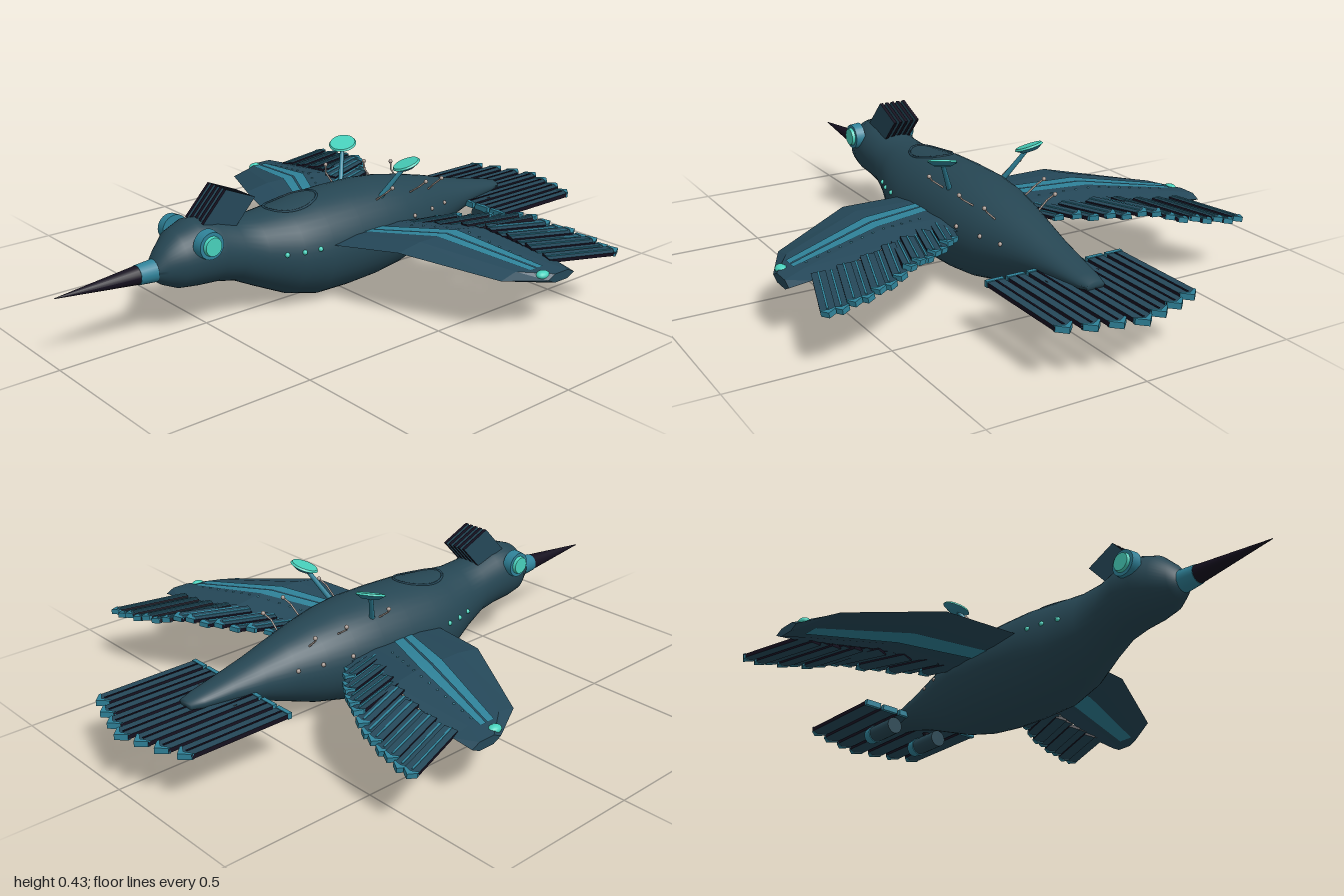
import * as THREE from 'three';

const mat = (name, color, side = THREE.FrontSide) => {
  const m = new THREE.MeshStandardMaterial({ color, side });
  m.name = name;
  return m;
};
const M = {
  body: mat('slate teal', 0x264653),
  wing: mat('wing slate', 0x254859),
  blue: mat('trim blue', 0x2f8299, THREE.DoubleSide),
  glow: mat('bright teal', 0x48d1bc),
  dark: mat('night black', 0x15101f),
  metal: mat('pale metal', 0xa89a92),
};

const V = (x, y, z) => new THREE.Vector3(x, y, z);
const mesh = (name, geo, material, parent) => {
  const m = new THREE.Mesh(geo, material);
  m.name = name;
  parent.add(m);
  return m;
};

// Skin closed rings, ordered along -z or +x, with fan caps
function loft(rings, flat) {
  const n = rings[0].length, pts = rings.flat(), idx = [];
  for (let i = 0; i < rings.length - 1; i++)
    for (let j = 0; j < n; j++) {
      const a = i * n + j, b = i * n + (j + 1) % n;
      idx.push(a, a + n, b, b, a + n, b + n);
    }
  const last = (rings.length - 1) * n;
  for (let j = 1; j < n - 1; j++) idx.push(0, j, j + 1, last, last + j + 1, last + j);
  let g = new THREE.BufferGeometry().setFromPoints(pts);
  g.setIndex(idx);
  if (flat) g = g.toNonIndexed();
  g.computeVertexNormals();
  return g;
}

// Cylinder between two points
function rod(name, a, b, r0, r1, material, parent, seg = 12) {
  const d = b.clone().sub(a);
  const m = mesh(name, new THREE.CylinderGeometry(r1, r0, d.length(), seg), material, parent);
  m.position.copy(a).add(b).multiplyScalar(0.5);
  m.quaternion.setFromUnitVectors(V(0, 1, 0), d.normalize());
  return m;
}
function ball(name, p, r, material, parent) {
  mesh(name, new THREE.SphereGeometry(r, 10, 8), material, parent).position.copy(p);
}

// Body stations: z, top, bottom, half width
const STATIONS = [
  [0.68, 0.252, 0.188, 0.034], [0.655, 0.285, 0.17, 0.052], [0.61, 0.328, 0.15, 0.083],
  [0.55, 0.35, 0.143, 0.1], [0.48, 0.343, 0.138, 0.1], [0.41, 0.322, 0.122, 0.096],
  [0.33, 0.315, 0.082, 0.11], [0.22, 0.322, 0.03, 0.147], [0.12, 0.333, 0.003, 0.163],
  [0, 0.337, 0.001, 0.166], [-0.12, 0.337, 0.006, 0.163], [-0.22, 0.327, 0.018, 0.152],
  [-0.32, 0.308, 0.043, 0.13], [-0.42, 0.284, 0.08, 0.102], [-0.52, 0.256, 0.118, 0.078],
  [-0.62, 0.232, 0.147, 0.059], [-0.72, 0.21, 0.163, 0.042], [-0.76, 0.2, 0.17, 0.03],
];
function skin(z, a) {
  let i = 0;
  while (i < STATIONS.length - 2 && z < STATIONS[i + 1][0]) i++;
  const p = STATIONS[i], q = STATIONS[i + 1], t = (p[0] - z) / (p[0] - q[0]);
  const [top, bot, w] = [1, 2, 3].map(k => p[k] + (q[k] - p[k]) * t);
  return V(w * Math.cos(a), (top + bot) / 2 + (top - bot) / 2 * Math.sin(a), z);
}

// Pointed feather lying along -z, base at the origin
function feather(parent, name, w, len, thick, shaftMat) {
  const g = new THREE.Group();
  g.name = name;
  const h = w / 2, slab = (pts, depth, y, mats, label) => {
    const geo = new THREE.ExtrudeGeometry(new THREE.Shape(pts.map(p => new THREE.Vector2(...p))), { depth, bevelEnabled: false });
    geo.rotateX(-Math.PI / 2).translate(0, y - depth / 2, 0);
    mesh(label, geo, mats, g);
  };
  slab([[-h, 0], [h, 0], [h, len - h], [0, len - 0.004], [-h, len - h]], thick, 0, [M.wing, M.dark], 'vane');
  slab([[-h, len - h - 0.008], [0, len - 0.02], [h, len - h - 0.008], [h, len - h], [0, len], [-h, len - h]],
    thick + 0.004, 0, M.blue, 'featherTip');
  slab([[-0.003, 0], [0.003, 0], [0.003, len - 0.03], [-0.003, len - 0.03]], 0.004, thick / 2, shaftMat, 'shaft');
  parent.add(g);
  return g;
}

const wingY = x => x < 0.38 ? 0.2 + (x - 0.1) * 0.11 : 0.231 - (x - 0.38) * 0.15;

// Thin band over the wing: points are x, front z, back z
function band(name, pts, dy, parent) {
  const v = pts.flatMap(([x, f, b]) => [V(x, wingY(x) + dy, f), V(x, wingY(x) + dy, b)]), idx = [];
  for (let i = 0; i < v.length - 2; i += 2)
    idx.push(...(dy > 0 ? [i, i + 2, i + 1, i + 1, i + 2, i + 3] : [i, i + 1, i + 2, i + 1, i + 3, i + 2]));
  const g = new THREE.BufferGeometry().setFromPoints(v);
  g.setIndex(idx);
  // Upward-facing order for the top, downward for the underside
  const flip = g.index.array;
  for (let i = 0; i < flip.length; i += 3) [flip[i + 1], flip[i + 2]] = [flip[i + 2], flip[i + 1]];
  g.computeVertexNormals();
  mesh(name, g, M.blue, parent);
}

function buildWing(side) {
  // Lens-shaped panel
  const rings = [[0.1, 0.135, -0.24], [0.38, 0.058, -0.3], [0.66, -0.09, -0.34], [0.73, -0.22, -0.335]].map(([x, f, b]) => {
    const y = wingY(x), at = t => f + (b - f) * t;
    return [V(x, y, f), V(x, y - 0.014, at(0.25)), V(x, y - 0.014, at(0.75)), V(x, y, b),
      V(x, y + 0.014, at(0.75)), V(x, y + 0.014, at(0.25))].reverse();
  });
  mesh('wingPanel', loft(rings, true), M.wing, side);
  band('upperStripeFront', [[0.14, 0.0, -0.03], [0.38, -0.1, -0.14], [0.68, -0.195, -0.222]], 0.0165, side);
  band('upperStripeRear', [[0.14, -0.036, -0.075], [0.38, -0.147, -0.19], [0.68, -0.228, -0.25]], 0.0165, side);
  band('lowerStripe', [[0.14, 0.0, -0.075], [0.38, -0.1, -0.19], [0.68, -0.195, -0.25]], -0.0165, side);
  // Flight feathers
  const N = 14;
  for (let i = 0; i < N; i++) {
    const t = i / (N - 1), tx = 0.2 + 0.515 * t, tz = -0.32 - 0.245 * (1 - (1 - t) ** 2.2);
    const lean = 0.32, len = 0.19 + 0.07 * t, x = tx - Math.sin(lean) * len;
    const f = feather(side, 'flightFeather', 0.042, len, 0.012, M.blue);
    f.position.set(x, wingY(x) + (i % 2 ? 0.003 : -0.003), tz + Math.cos(lean) * len);
    f.rotation.set(0, -lean, x < 0.38 ? 0.11 : -0.15, 'ZYX');
  }
  // Rivet rows and tip lamp
  for (let i = 0; i < 12; i++) {
    const x = 0.22 + i * 0.038, k = Math.max(0, x - 0.38);
    ball('wingRivet', V(x, wingY(x) + 0.013, -0.15 - (x - 0.22) * 0.38 + k * 0.25), 0.004, M.blue, side);
  }
  const lamp = mesh('wingTipLamp', new THREE.SphereGeometry(0.022, 16, 10), M.glow, side);
  lamp.position.set(0.705, 0.19, -0.22);
  lamp.scale.set(0.8, 0.6, 1.1);
}

function buildSide(side) {
  buildWing(side);
  // Eye
  rod('eyeRing', V(0.08, 0.295, 0.545), V(0.112, 0.295, 0.545), 0.045, 0.042, M.blue, side, 24);
  rod('eyeLens', V(0.1, 0.295, 0.545), V(0.122, 0.295, 0.545), 0.034, 0.028, M.glow, side, 24);
  // Dish on a strut
  rod('dishStrut', V(0.095, 0.29, -0.12), V(0.15, 0.395, -0.175), 0.009, 0.007, M.blue, side);
  const up = V(-0.2, 1, 0.32).normalize(), c = V(0.156, 0.408, -0.182);
  rod('dishBowl', c.clone().addScaledVector(up, -0.012), c, 0.026, 0.046, M.blue, side, 24);
  rod('dishFace', c, c.clone().addScaledVector(up, 0.006), 0.046, 0.042, M.glow, side, 24);
  // Whisker antennas
  for (const [z, x, y] of [[-0.1, 0.165, 0.345], [-0.26, 0.152, 0.33], [-0.36, 0.125, 0.315]]) {
    const mid = V(x - 0.018, y - 0.02, z);
    rod('antenna', skin(z, 0.85), mid, 0.003, 0.003, M.metal, side, 6);
    rod('antennaEnd', mid, V(x, y, z - 0.015), 0.003, 0.003, M.metal, side, 6);
    ball('antennaBall', V(x, y, z - 0.015), 0.007, M.metal, side);
  }
  // Flank lamps and studs
  for (const z of [0.28, 0.225, 0.17]) {
    const a = Math.asin((0.205 - skin(z, 0).y) / (skin(z, Math.PI / 2).y - skin(z, 0).y));
    ball('flankLamp', skin(z, a), 0.008, M.glow, side);
  }
  for (const z of [-0.24, -0.34, -0.42]) ball('flankStud', skin(z, 0.3), 0.007, M.metal, side);
  // Thruster below the tail
  rod('thruster', V(0.095, 0.13, -0.59), V(0.095, 0.13, -0.71), 0.029, 0.029, M.body, side, 20);
  rod('thrusterRim', V(0.095, 0.13, -0.7), V(0.095, 0.13, -0.735), 0.032, 0.028, M.blue, side, 20);
  rod('thrusterGlow', V(0.095, 0.13, -0.73), V(0.095, 0.13, -0.739), 0.021, 0.019, M.glow, side, 20);
  rod('thrusterMount', V(0.095, 0.15, -0.65), V(0.08, 0.172, -0.65), 0.012, 0.012, M.dark, side);
}

// Mirrored copy with baked transforms and reversed faces
function mirrored(src) {
  const out = new THREE.Group();
  src.updateMatrixWorld(true);
  src.traverse(o => {
    if (!o.isMesh) return;
    const g = o.geometry.clone().applyMatrix4(o.matrixWorld);
    if (!g.index) g.setIndex([...Array(g.attributes.position.count).keys()]);
    g.applyMatrix4(new THREE.Matrix4().makeScale(-1, 1, 1));
    const a = g.index.array;
    for (let i = 0; i < a.length; i += 3) [a[i + 1], a[i + 2]] = [a[i + 2], a[i + 1]];
    mesh(o.name, g, o.material, out);
  });
  return out;
}

export function createModel() {
  const root = new THREE.Group();
  root.name = 'mechanicalBird';

  const rings = STATIONS.map(([z]) => Array.from({ length: 40 }, (_, j) => skin(z, j / 40 * Math.PI * 2)));
  mesh('body', loft(rings, false), M.body, root);

  // Beak
  rod('beakCollar', V(0, 0.22, 0.665), V(0, 0.22, 0.735), 0.036, 0.03, M.blue, root, 20);
  rod('beak', V(0, 0.22, 0.73), V(0, 0.22, 1), 0.029, 0.001, M.dark, root, 16);

  // Crest fins
  const fin = new THREE.Shape([[-0.53, 0.34], [-0.41, 0.31], [-0.34, 0.385], [-0.445, 0.43]].map(p => new THREE.Vector2(...p)));
  for (let i = -2; i <= 2; i++) {
    const g = new THREE.ExtrudeGeometry(fin, { depth: 0.011, bevelEnabled: false });
    g.rotateY(Math.PI / 2).translate(i * 0.021 - 0.0055, 0, 0);
    mesh('crestFin', g, [M.wing, M.dark], root);
  }

  // Oval hatch seam on the back
  const seam = Array.from({ length: 28 }, (_, i) => {
    const a = i / 28 * Math.PI * 2, z = 0.17 + 0.095 * Math.sin(a), x = 0.062 * Math.cos(a);
    return skin(z, Math.acos(x / skin(z, 0).x));
  });
  mesh('hatchSeam', new THREE.TubeGeometry(new THREE.CatmullRomCurve3(seam, true), 56, 0.004, 6, true), M.wing, root);

  // Tail fan
  for (let i = -3; i <= 3; i++) {
    const len = [0.44, 0.42, 0.4, 0.372][Math.abs(i)];
    const f = feather(root, 'tailFeather', 0.056, len, 0.014, M.dark);
    f.position.set(i * 0.069, 0.17, -0.56);
    mesh('featherCuff', new THREE.BoxGeometry(0.058, 0.019, 0.014), M.blue, f).position.z = -0.006;
  }

  const left = new THREE.Group();
  left.name = 'leftSide';
  buildSide(left);
  const right = mirrored(left);
  right.name = 'rightSide';
  root.add(left, right);
  return root;
}
